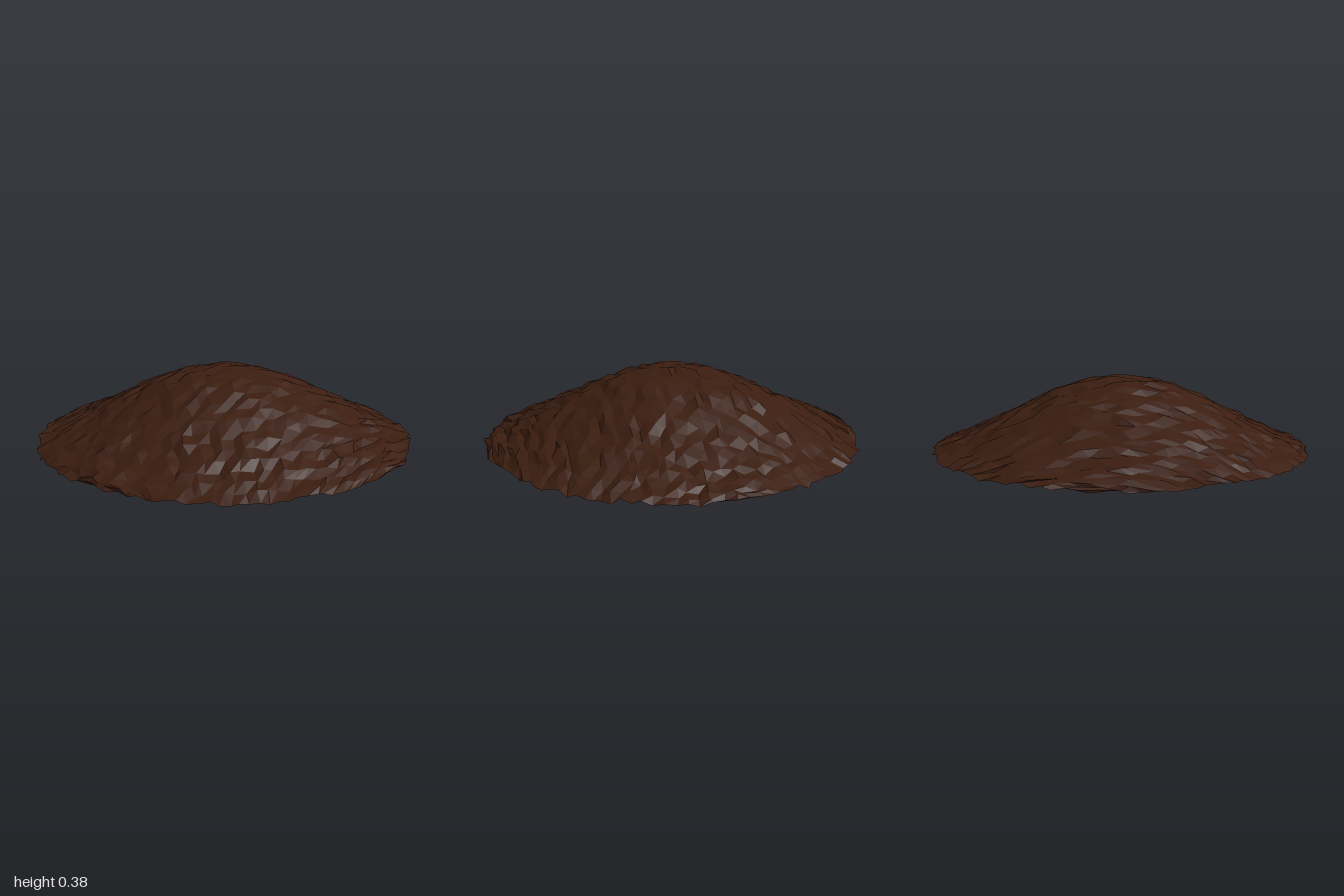
import * as THREE from 'three';

// Small seeded generator, returns values in -1..1
function makeNoise(seed) {
  return () => {
    seed = (seed * 16807) % 2147483647;
    return (seed / 2147483647) * 2 - 1;
  };
}

// Mound height at radius r (0 = centre, 1 = rim), sampled every 0.2
const PROFILE = [0.39, 0.37, 0.3, 0.205, 0.108, 0.027];
function heightAt(r) {
  const t = Math.min(r, 1) * 5;
  const i = Math.min(Math.floor(t), 4);
  const p = (k) => (k < 0 ? PROFILE[1] : k > 5 ? 2 * PROFILE[5] - PROFILE[4] : PROFILE[k]);
  const f = t - i;
  const m0 = (p(i + 1) - p(i - 1)) / 2;
  const m1 = (p(i + 2) - p(i)) / 2;
  return (2 * f ** 3 - 3 * f ** 2 + 1) * p(i) + (f ** 3 - 2 * f ** 2 + f) * m0
    + (3 * f ** 2 - 2 * f ** 3) * p(i + 1) + (f ** 3 - f ** 2) * m1;
}

export function createModel() {
  const group = new THREE.Group();
  group.name = 'dirtMound';

  // Square grid pressed into a disc, raised along the profile and roughened
  const noise = makeNoise(4217);
  const geometry = new THREE.PlaneGeometry(2, 2, 32, 32).rotateX(-Math.PI / 2);
  const pos = geometry.attributes.position;
  for (let i = 0; i < pos.count; i++) {
    const u = pos.getX(i);
    const v = pos.getZ(i);
    const x = 0.985 * u * Math.sqrt(1 - (v * v) / 2);
    const z = 0.985 * v * Math.sqrt(1 - (u * u) / 2);
    const y = heightAt(Math.hypot(x, z) / 0.985);
    pos.setXYZ(i, x + noise() * 0.014, y + noise() * 0.012, z + noise() * 0.014);
  }
  geometry.computeVertexNormals();

  // Open shell, visible from above and below
  const mound = new THREE.Mesh(geometry, new THREE.MeshStandardMaterial({
    color: 0x3b1d10, flatShading: true, side: THREE.DoubleSide,
  }));
  mound.name = 'moundSurface';
  group.add(mound);
  return group;
}
